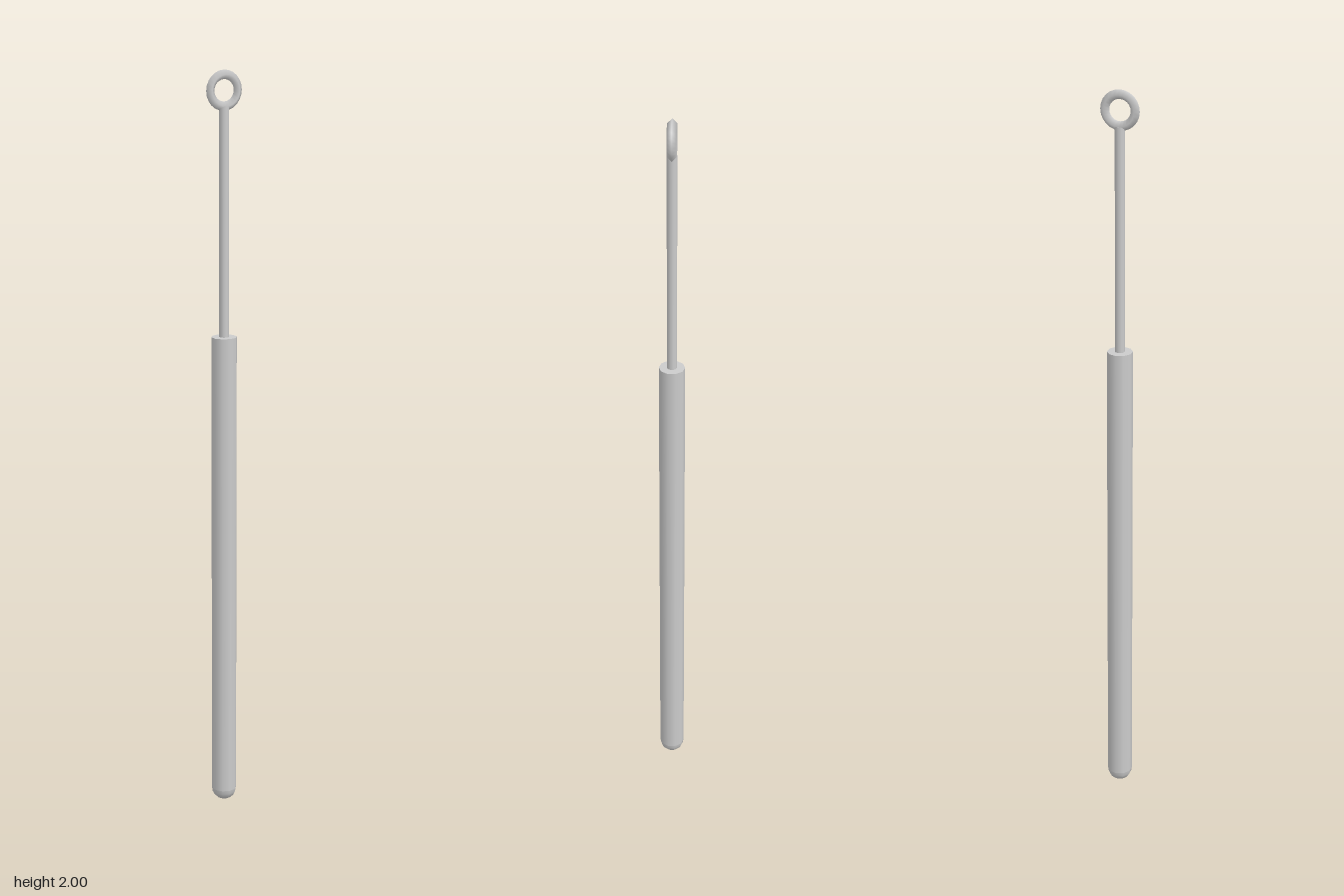
import * as THREE from 'three';

export function createModel() {
  const group = new THREE.Group();
  const material = new THREE.MeshStandardMaterial({ color: 0xcccccc });
  const add = (name, geometry, y) => {
    const mesh = new THREE.Mesh(geometry, material);
    mesh.name = name;
    mesh.position.y = y;
    group.add(mesh);
  };

  const sides = 10;
  const handleRadius = 0.034, handleBottom = 0.034, handleTop = 1.31;
  const ringRadius = 0.04, wire = 0.012;
  const ringY = 2 - ringRadius - wire;

  // Long handle with a flat top
  const handleLength = handleTop - handleBottom;
  add('handle', new THREE.CylinderGeometry(handleRadius, handleRadius, handleLength, sides),
    handleBottom + handleLength / 2);

  // Rounded lower end of the handle
  const dome = [];
  for (let i = 0; i <= 5; i++) {
    const a = (i / 5) * Math.PI / 2;
    dome.push(new THREE.Vector2(handleRadius * Math.sin(a), -handleRadius * Math.cos(a)));
  }
  add('handleEnd', new THREE.LatheGeometry(dome, sides), handleBottom);

  // Thin rod from the handle to the ring
  const rodTop = ringY - ringRadius;
  const rodLength = rodTop - handleTop;
  add('rod', new THREE.CylinderGeometry(0.013, 0.013, rodLength, sides), handleTop + rodLength / 2);

  // Ring with a diamond section
  add('ring', new THREE.TorusGeometry(ringRadius, wire, 4, 24), ringY);

  return group;
}
